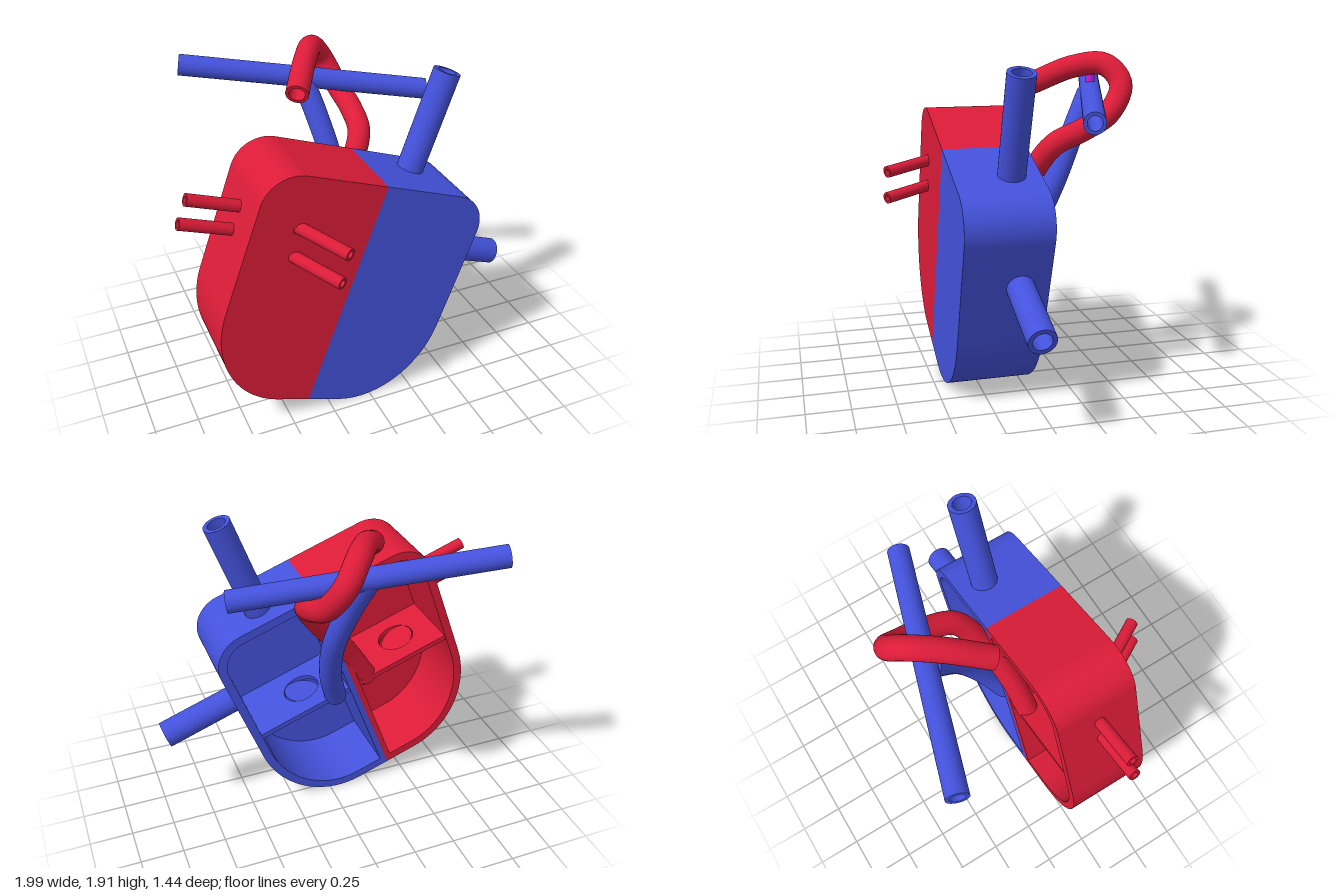
import * as THREE from 'three';
import { toCreasedNormals } from 'three/addons/utils/BufferGeometryUtils.js';

const material = (color) => new THREE.MeshStandardMaterial({ color, side: THREE.DoubleSide });
const red = material(0xdc1c38);
const blue = material(0x4452dc);
const magenta = material(0xc81ee0);
const TOP = 1.385, HALF = 0.675, WALL = 0.05;

function addMesh(parent, name, geometry, mat) {
  const mesh = new THREE.Mesh(geometry, mat);
  mesh.name = name;
  parent.add(mesh);
  return mesh;
}

// Outline of one chamber, inset by t from the outside and by m from the middle
function outline(side, t, m) {
  const s = new THREE.Shape();
  s.moveTo(m, t);
  s.lineTo(0.2, t);
  s.absellipse(0.2, 0.55, HALF - 0.2 - t, 0.55 - t, -Math.PI / 2, 0, false);
  s.lineTo(HALF - t, TOP - 0.2);
  s.absarc(HALF - 0.2, TOP - 0.2, 0.2 - t, 0, Math.PI / 2, false);
  s.lineTo(m, TOP - t);
  return s.getPoints(20).map((p) => new THREE.Vector2(p.x * side, p.y));
}

function circlePath(x, y, r) {
  return new THREE.Path().absarc(x, y, r, 0, Math.PI * 2, true);
}

function extrude(shape, depth) {
  const g = new THREE.ExtrudeGeometry(shape, { depth, bevelEnabled: false, curveSegments: 24 });
  return toCreasedNormals(g, 0.5);
}

// Hollow pipe along a smooth path, with flat ring ends
function pipe(parent, name, points, r, inner, mat) {
  const pts = points.map((p) => new THREE.Vector3(...p));
  const curve = pts.length === 2 ? new THREE.LineCurve3(...pts) : new THREE.CatmullRomCurve3(pts);
  const segments = pts.length === 2 ? 1 : 80;
  const group = new THREE.Group();
  group.name = name;
  addMesh(group, 'outerSurface', new THREE.TubeGeometry(curve, segments, r, 32), mat);
  addMesh(group, 'bore', new THREE.TubeGeometry(curve, segments, inner, 32), mat);
  for (const t of [0, 1]) {
    const rim = addMesh(group, 'rim', new THREE.RingGeometry(inner, r, 32), mat);
    const dir = curve.getTangent(t).multiplyScalar(t ? 1 : -1);
    rim.position.copy(curve.getPoint(t));
    rim.quaternion.setFromUnitVectors(new THREE.Vector3(0, 0, 1), dir);
  }
  parent.add(group);
}

// One open-backed chamber: walls, front plate, shelf and valve flap
function chamber(side, name, mat, holes) {
  const group = new THREE.Group();
  group.name = name;

  const walls = new THREE.Shape(outline(side, 0, 0));
  walls.holes.push(new THREE.Path(outline(side, WALL, 0.035)));
  addMesh(group, 'walls', extrude(walls, 0.43), mat).position.z = -0.04;

  const plate = new THREE.Shape(outline(side, 0, 0));
  for (const [x, y] of holes) plate.holes.push(circlePath(x, y, 0.02));
  addMesh(group, 'frontPlate', extrude(plate, 0.05), mat).position.z = 0.39;

  // Shelf drawn in x and depth, then laid flat
  const shelf = new THREE.Shape();
  shelf.moveTo(0.03, -0.03);
  shelf.lineTo(0.635, -0.03);
  shelf.lineTo(0.635, 0.4);
  shelf.lineTo(0.03, 0.4);
  shelf.holes.push(circlePath(0.28, 0.18, 0.11));
  const shelfMesh = addMesh(group, 'shelf', extrude(shelf, 0.03), mat);
  shelfMesh.rotation.x = Math.PI / 2;
  shelfMesh.position.set(side > 0 ? 0 : -0.665, 0.69, 0);

  const flap = addMesh(group, 'valveFlap', new THREE.CylinderGeometry(0.11, 0.11, 0.015, 32), mat);
  flap.position.set(side > 0 ? 0.28 : -0.385, 0.66, 0.18);
  flap.rotation.z = side * 0.3;
  return group;
}

export function createModel() {
  const model = new THREE.Group();
  model.name = 'heartModel';

  // Tilted body
  const body = new THREE.Group();
  body.name = 'body';
  body.position.set(-0.39, 0.1, 0);
  body.rotation.z = -Math.PI / 9;
  body.add(chamber(1, 'leftChamber', blue, []));
  body.add(chamber(-1, 'rightChamber', red, [[-0.436, 1.08], [-0.405, 0.922]]));
  model.add(body);

  // Large straight vessels
  pipe(model, 'upperVessel', [[0.355, 1.24, 0.122], [0.575, 1.845, 0.122]], 0.077, 0.052, blue);
  pipe(model, 'sideVessel', [[0.53, 0.738, 0.122], [0.967, 0.579, 0.122]], 0.077, 0.052, blue);

  // Small paired vessels on the right side and the front
  for (const [x, y] of [[-0.985, 1.306], [-0.935, 1.436]]) {
    pipe(model, 'smallSideVessel', [[x, y, 0.205], [x + 0.32, y - 0.1165, 0.205]], 0.034, 0.02, red);
  }
  for (const [x, y] of [[-0.25, 1.23], [-0.292, 1.068]]) {
    pipe(model, 'smallFrontVessel', [[x, y, 0.705], [x - 0.165, y + 0.037, 0.415]], 0.034, 0.02, red);
  }

  // Crossbar vessel and its stem into the left chamber
  pipe(model, 'crossVessel', [[-0.705, 1.795, -0.665], [0.64, 1.588, -0.243]], 0.06, 0.04, blue);
  pipe(model, 'stemVessel', [
    [-0.045, 1.68, -0.445], [0, 1.5, -0.355], [0.05, 1.2, -0.222],
    [0.025, 0.92, -0.1], [-0.045, 0.68, 0.0],
  ], 0.065, 0.045, blue);

  // Arched vessel rising out of the right chamber
  pipe(model, 'archVessel', [
    [-0.26, 0.75, 0.03], [-0.1, 1.0, 0], [0.08, 1.24, -0.07], [0.19, 1.42, -0.17],
    [0.212, 1.5, -0.33], [0.19, 1.59, -0.49], [0.13, 1.74, -0.577],
    [0.04, 1.845, -0.51], [-0.06, 1.83, -0.36], [-0.19, 1.73, -0.15],
  ], 0.065, 0.045, red);

  // Short link between the arch and the crossbar
  const link = addMesh(model, 'link', new THREE.CylinderGeometry(0.025, 0.025, 0.13, 20), magenta);
  link.position.set(-0.015, 1.765, -0.445);

  return model;
}
